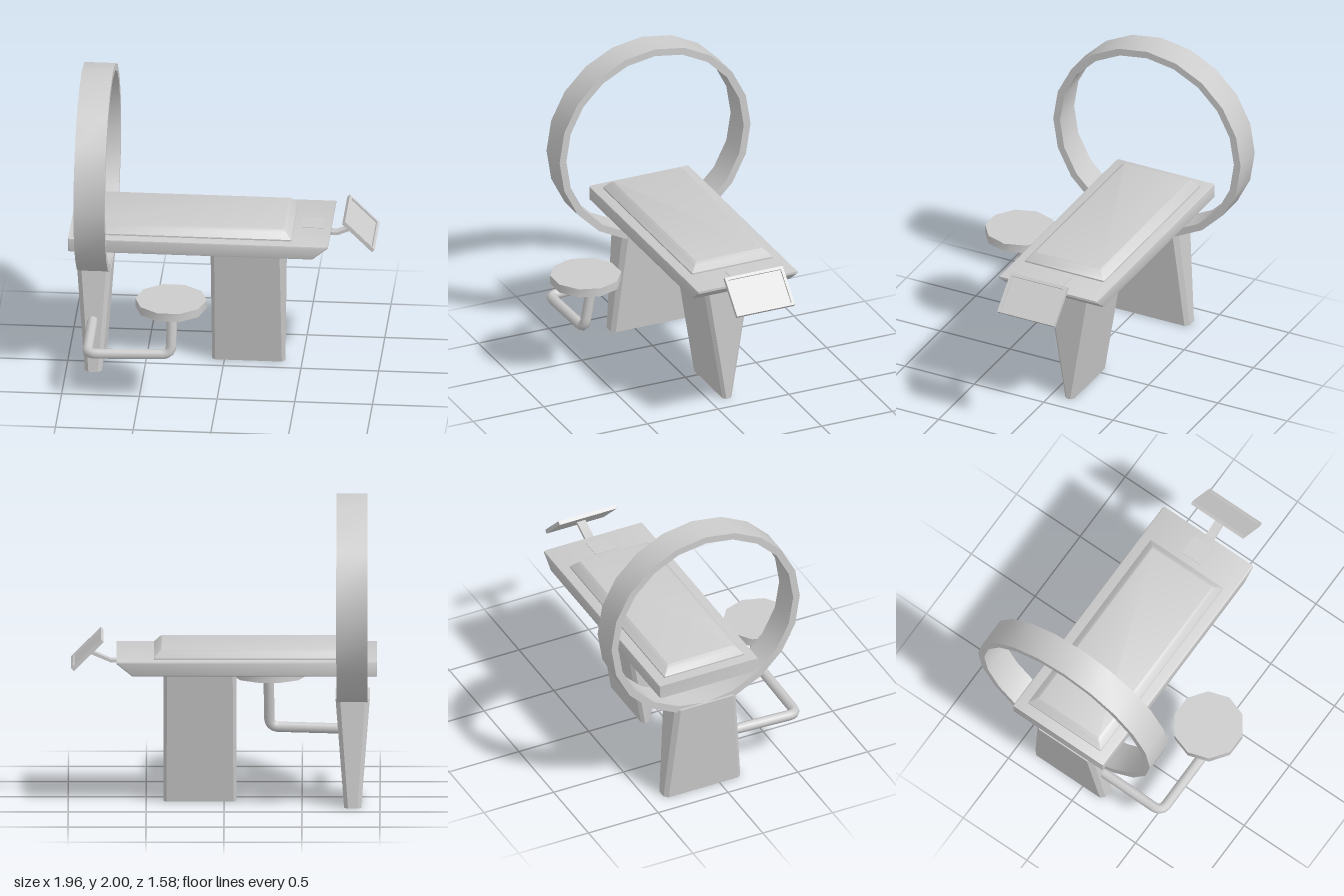
import * as THREE from 'three';
import { toCreasedNormals } from 'three/addons/utils/BufferGeometryUtils.js';

const grey = new THREE.MeshStandardMaterial({ color: 0xcccccc });
const MID = -0.125; // z of the table's long axis

function part(name, geometry, crease = 0.6) {
  const mesh = new THREE.Mesh(toCreasedNormals(geometry, crease), grey);
  mesh.name = name;
  return mesh;
}

// Solid through stacked rectangles with cut corners: [y, x0, x1, z0, z1, cut]
function loft(levels) {
  const rings = levels.map(([y, x0, x1, z0, z1, c]) => [
    [x1, z0 + c], [x1, z1 - c], [x1 - c, z1], [x0 + c, z1],
    [x0, z1 - c], [x0, z0 + c], [x0 + c, z0], [x1 - c, z0],
  ].map(([x, z]) => [x, y, z]));
  const n = 8, top = rings.length - 1, index = [];
  const at = (r, i) => r * n + (i % n);
  for (let r = 0; r < top; r++) {
    for (let i = 0; i < n; i++) {
      index.push(at(r, i), at(r + 1, i), at(r, i + 1));
      index.push(at(r, i + 1), at(r + 1, i), at(r + 1, i + 1));
    }
  }
  for (let i = 1; i < n - 1; i++) {
    index.push(at(0, 0), at(0, i), at(0, i + 1));
    index.push(at(top, 0), at(top, i + 1), at(top, i));
  }
  const g = new THREE.BufferGeometry();
  g.setAttribute('position', new THREE.Float32BufferAttribute(rings.flat(2), 3));
  g.setIndex(index);
  return g;
}

// Straight runs joined by short rounded bends
function bentPath(points, bend) {
  const p = points.map((a) => new THREE.Vector3(...a));
  const path = new THREE.CurvePath();
  let from = p[0];
  for (let i = 1; i < p.length - 1; i++) {
    const toward = (q) => p[i].clone().add(q.clone().sub(p[i]).setLength(bend));
    const a = toward(p[i - 1]), b = toward(p[i + 1]);
    path.add(new THREE.LineCurve3(from, a));
    path.add(new THREE.QuadraticBezierCurve3(a, p[i], b));
    from = b;
  }
  path.add(new THREE.LineCurve3(from, p[p.length - 1]));
  return path;
}

function polygon(points) {
  return new THREE.Shape(points.map(([x, y]) => new THREE.Vector2(x, y)));
}

function circlePoints(radius, sides) {
  return Array.from({ length: sides }, (_, i) => {
    const a = (i / sides) * Math.PI * 2;
    return [radius * Math.cos(a), radius * Math.sin(a)];
  });
}

function createTable() {
  const table = new THREE.Group();
  table.name = 'table';

  // Slab with an undercut foot end
  const b = 0.012;
  const slab = new THREE.ExtrudeGeometry(
    polygon([[-0.98, 0.88], [0.59, 0.88], [0.69, 0.96], [0.69, 0.975], [-0.98, 0.975]]),
    { depth: 0.71 - 2 * b, bevelEnabled: true, bevelSize: b, bevelThickness: b, bevelOffset: -b, bevelSegments: 2 });
  slab.translate(0, 0, MID - 0.355 + b);
  table.add(part('tableTop', slab));

  // Padded mattress with sloping edges
  table.add(part('mattress', loft([
    [0.97, -0.91, 0.45, -0.41, 0.16, 0.004],
    [0.985, -0.91, 0.45, -0.41, 0.16, 0.004],
    [1.026, -0.875, 0.415, -0.375, 0.125, 0.004],
    [1.037, -0.86, 0.4, -0.36, 0.11, 0.004],
  ])));

  const panel = new THREE.BoxGeometry(0.14, 0.006, 0.15);
  panel.translate(0.57, 0.975, MID);
  table.add(part('controlPanel', panel));

  // Pedestal narrowing to the floor
  table.add(part('pedestal', loft([
    [0, -0.08, 0.39, -0.155, -0.09, 0.02],
    [0.89, -0.08, 0.39, -0.3, 0.055, 0.025],
  ])));
  return table;
}

function createScanner() {
  const scanner = new THREE.Group();
  scanner.name = 'scanner';

  // Twenty-sided hoop around the table
  const shape = polygon(circlePoints(0.675, 20));
  shape.holes.push(new THREE.Path(polygon(circlePoints(0.627, 20)).getPoints().reverse()));
  const hoop = new THREE.ExtrudeGeometry(shape, { depth: 0.2, bevelEnabled: false });
  hoop.rotateY(Math.PI / 2);
  hoop.translate(-0.92, 1.325, -0.12);
  scanner.add(part('scannerRing', hoop));

  scanner.add(part('ringStand', loft([
    [0, -0.88, -0.77, -0.39, 0.16, 0.025],
    [0.7, -0.935, -0.715, -0.335, 0.1, 0.03],
  ]), 0.3));
  return scanner;
}

function createStool() {
  const stool = new THREE.Group();
  stool.name = 'stool';

  const arm = bentPath([
    [-0.83, 0.35, 0.08], [-0.83, 0.33, 0.58], [-0.29, 0.345, 0.58], [-0.285, 0.69, 0.52],
  ], 0.06);
  stool.add(part('stoolArm', new THREE.TubeGeometry(arm, 64, 0.034, 8), 0.9));

  // Ten-sided seat with a vertex on the x axis
  const seat = new THREE.CylinderGeometry(0.23, 0.23, 0.057, 10);
  seat.rotateY(Math.PI / 2);
  seat.translate(-0.29, 0.704, 0.57);
  stool.add(part('stoolSeat', seat, 0.8));
  return stool;
}

function createMonitor() {
  const monitor = new THREE.Group();
  monitor.name = 'monitor';

  // Flat cranked bracket
  const bracket = new THREE.ExtrudeGeometry(
    polygon([[0.62, 0.91], [0.73, 0.91], [0.875, 0.972], [0.87, 0.993], [0.725, 0.929], [0.62, 0.929]]),
    { depth: 0.06, bevelEnabled: false });
  bracket.translate(0, 0, MID - 0.03);
  monitor.add(part('monitorBracket', bracket));

  // Tilted screen: framed rim, recessed panel
  const screen = new THREE.Group();
  screen.name = 'screen';
  const w = 0.135, h = 0.205, rim = 0.02;
  const rect = (x, y) => [[-x, -y], [x, -y], [x, y], [-x, y]];
  const frame = polygon(rect(w, h));
  frame.holes.push(new THREE.Path(polygon(rect(w - rim, h - rim)).getPoints().reverse()));
  const frameGeometry = new THREE.ExtrudeGeometry(frame, { depth: 0.026, bevelEnabled: false });
  frameGeometry.rotateX(-Math.PI / 2);
  frameGeometry.translate(0, -0.013, 0);
  const panel = new THREE.BoxGeometry(2 * (w - rim), 0.014, 2 * (h - rim));
  panel.translate(0, -0.006, 0);
  screen.add(part('screenFrame', frameGeometry), part('screenPanel', panel));
  screen.position.set(0.877, 0.989, -0.117);
  screen.rotation.z = -Math.PI / 4;
  monitor.add(screen);
  return monitor;
}

export function createModel() {
  const model = new THREE.Group();
  model.name = 'scannerTable';
  model.add(createTable(), createScanner(), createStool(), createMonitor());
  return model;
}
